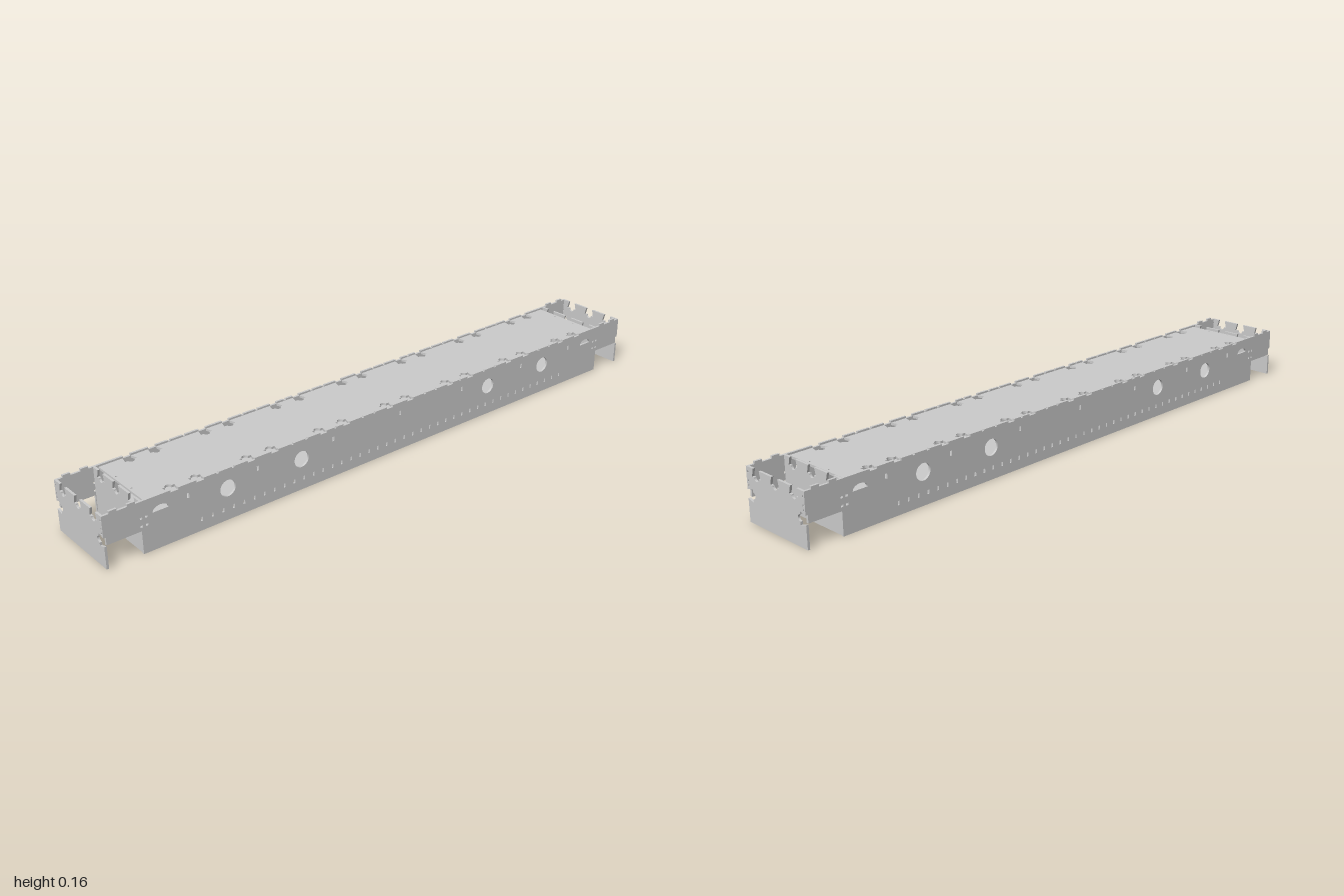
import * as THREE from 'three';

const T = 0.007;            // sheet thickness
const HALF_W = 0.124, TOP = 0.157, BULK = 0.888;
const PAIRS = [0.04, 0.205, 0.29, 0.46, 0.54, 0.705, 0.785];
const mirrored = (list) => [...list.map((v) => -v).reverse(), ...list];

// Notch profiles: [along the edge, into the sheet]
const DOVETAIL = [[-0.013, 0], [-0.019, 0.023]];
for (let i = 0; i <= 8; i++) {
  const a = Math.PI * i / 8;
  DOVETAIL.push([-0.01 * Math.cos(a), 0.023 + 0.01 * Math.sin(a)]);
}
DOVETAIL.push([0.019, 0.023], [0.013, 0]);
const slotNotch = (w, d) => [[-w, 0], [-w, d], [w, d], [w, 0]];

// Counter-clockwise outline; each corner may carry notches on the edge that follows it
function outline(corners) {
  const pts = [];
  corners.forEach(([x, y, notches = []], i) => {
    const [nx, ny] = corners[(i + 1) % corners.length];
    const len = Math.hypot(nx - x, ny - y);
    const dx = (nx - x) / len, dy = (ny - y) / len;
    pts.push(new THREE.Vector2(x, y));
    for (const { at, profile } of notches) {
      for (const [u, v] of profile) {
        const s = at + u;
        pts.push(new THREE.Vector2(x + dx * s - dy * v, y + dy * s + dx * v));
      }
    }
  });
  return new THREE.Shape(pts);
}

function rectHole(shape, x, y, w, h) {
  const a = w / 2, b = h / 2;
  shape.holes.push(new THREE.Path([[-a, -b], [-a, b], [a, b], [a, -b]]
    .map(([u, v]) => new THREE.Vector2(x + u, y + v))));
}

function roundHole(shape, x, y, r, end = Math.PI * 2) {
  const p = new THREE.Path();
  p.absarc(x, y, r, 0, end, false);
  shape.holes.push(p);
}

const sheet = (shape) => new THREE.ExtrudeGeometry(shape, { depth: T, bevelEnabled: false, curveSegments: 24 })
  .translate(0, 0, -T / 2);

// Long wall drawn in the (length, height) plane
function sideShape() {
  const L = 1 - T, tab = 0.164;
  const notch = slotNotch(0.012, 0.006);
  const small = slotNotch(0.004, 0.004);
  const notches = [];
  for (const z of mirrored(PAIRS)) notches.push({ at: 0.87 - z, profile: notch });
  for (const z of mirrored([0.1, 0.145, 0.247, 0.35, 0.4, 0.6, 0.65])) {
    notches.push({ at: 0.87 - z, profile: small });
  }
  notches.sort((a, b) => a.at - b.at);
  const s = outline([
    [-0.89, 0], [0.89, 0], [0.89, 0.07], [L, 0.07], [L, TOP],
    [0.978, TOP], [0.978, tab], [0.955, tab], [0.955, TOP],
    [0.925, TOP], [0.925, tab], [0.902, tab], [0.902, TOP],
    [0.87, TOP, notches], [-0.87, TOP],
    [-0.902, TOP], [-0.902, tab], [-0.925, tab], [-0.925, TOP],
    [-0.955, TOP], [-0.955, tab], [-0.978, tab], [-0.978, TOP],
    [-L, TOP], [-L, 0.07], [-0.89, 0.07],
  ]);
  for (const z of mirrored([0.37, 0.62])) roundHole(s, z, 0.097, 0.025);
  // Half-oval hand slots
  for (const z of mirrored([0.83])) {
    const p = new THREE.Path();
    p.moveTo(z - 0.024, 0.112);
    p.lineTo(z + 0.024, 0.112);
    p.absellipse(z, 0.112, 0.024, 0.016, 0, Math.PI, false);
    s.holes.push(p);
  }
  // Fixing slots for the floor and deck
  for (let i = 0; i < 21; i++) {
    const z = 0.018 + i * 0.0345;
    for (const k of [-1, 1]) rectHole(s, k * z, 0.035, 0.006, 0.012);
  }
  for (const z of mirrored([0.255, 0.52, 0.745])) {
    rectHole(s, z, 0.122, 0.007, 0.014);
  }
  rectHole(s, 0, 0.122, 0.007, 0.014);
  for (const z of mirrored([0.873, 0.889])) {
    for (const y of [0.084, 0.108]) rectHole(s, z, y, 0.007, 0.006);
  }
  return s;
}

// Upright cross plate with dovetail notches along its top
function crossShape(halfW, sideNotches) {
  const up = sideNotches ? [{ at: 0.08, profile: DOVETAIL }] : [];
  const down = sideNotches ? [{ at: TOP - 0.08, profile: DOVETAIL }] : [];
  const top = [-0.08, 0, 0.08].map((x) => ({ at: halfW + x, profile: DOVETAIL }));
  const s = outline([[-halfW, 0], [halfW, 0, up], [halfW, TOP, top], [-halfW, TOP, down]]);
  if (sideNotches) {
    for (const x of [-0.117, 0.117]) {
      for (const y of [0.105, 0.118, 0.143]) rectHole(s, x, y, 0.005, 0.006);
    }
  }
  return s;
}

// Deck with paired dovetail pockets on both long edges
function deckShape() {
  const w = HALF_W - T, l = 0.872;
  const edge = mirrored(PAIRS).map((z) => ({ at: l + z, profile: DOVETAIL }));
  const s = outline([[-w, -l], [w, -l, edge], [w, l], [-w, l, edge]]);
  for (const x of [-0.04, 0.04]) {
    for (const z of [-0.862, 0.862]) roundHole(s, x, z, 0.003);
  }
  return s;
}

export function createModel() {
  const model = new THREE.Group();
  model.name = 'slottedTray';
  const material = new THREE.MeshStandardMaterial({ color: 0xcccccc });
  const add = (name, geometry, x, y, z) => {
    const mesh = new THREE.Mesh(geometry, material);
    mesh.name = name;
    mesh.position.set(x, y, z);
    model.add(mesh);
  };

  const side = sheet(sideShape()).rotateY(Math.PI / 2);
  const endPlate = sheet(crossShape(HALF_W, true));
  const bulkhead = sheet(crossShape(HALF_W - T, false));
  for (const k of [1, -1]) {
    add(k > 0 ? 'leftWall' : 'rightWall', side, k * (HALF_W - T / 2), 0, 0);
    add(k > 0 ? 'frontPlate' : 'backPlate', endPlate, 0, 0, k * (1 - T / 2));
    add(k > 0 ? 'frontBulkhead' : 'backBulkhead', bulkhead, 0, 0, k * (BULK - T / 2));
  }

  add('deck', sheet(deckShape()).rotateX(-Math.PI / 2), 0, 0.148, 0);
  add('floor', new THREE.BoxGeometry(2 * (HALF_W - T), T, 1.744), 0, 0.037, 0);
  return model;
}
